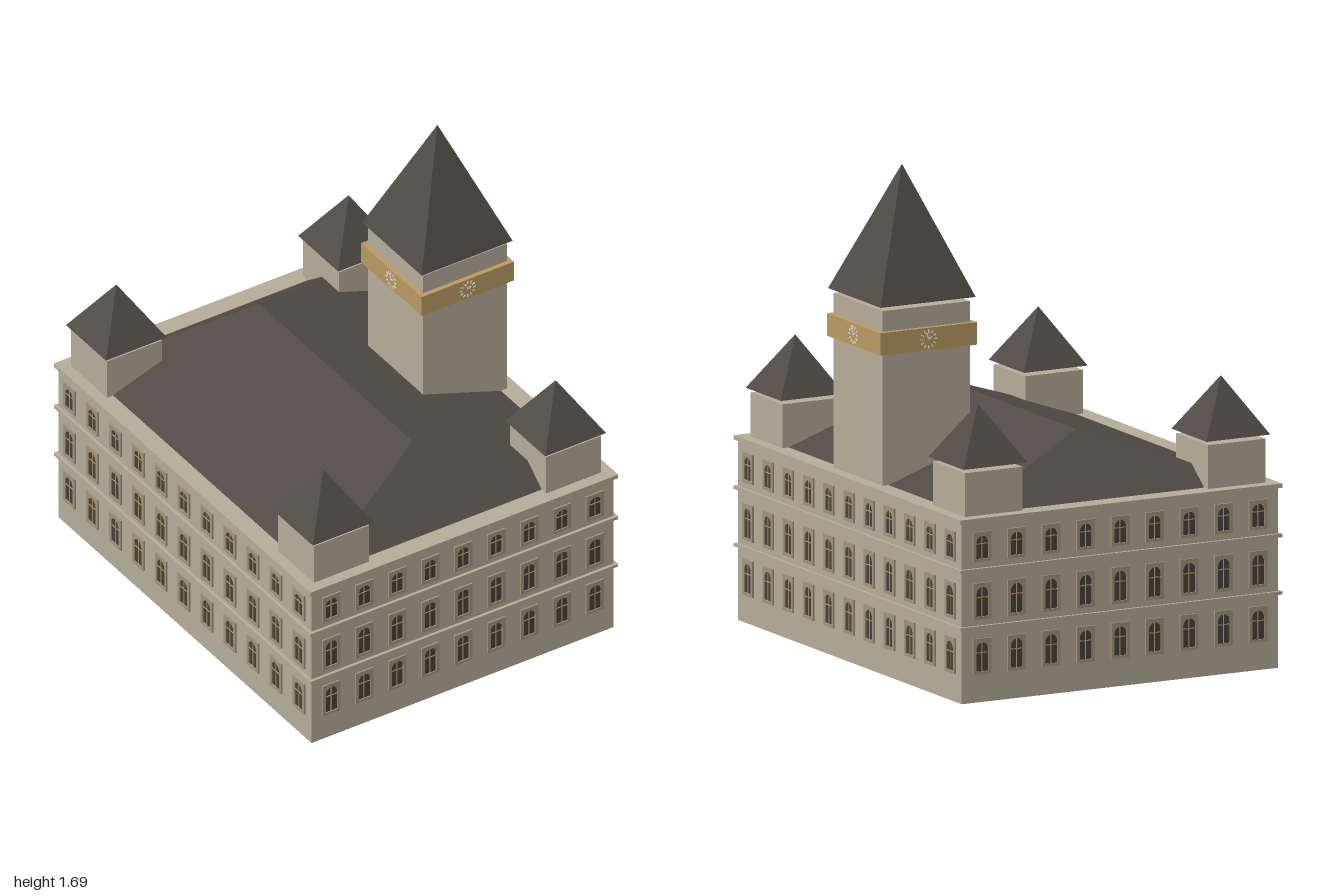
import * as THREE from 'three';

const paint = (color) => new THREE.MeshStandardMaterial({ color, flatShading: true });
const stone = paint(0xb5ab98);
const trim = paint(0xa0937c);
const slate = paint(0x504c45);
const glass = paint(0x45423c);
const gold = paint(0xb89a62);
const white = paint(0xe6e2d8);

// half sizes of the building's walls and of its cornices
const WX = 0.773, WZ = 0.605, CX = 0.784, CZ = 0.616;

function add(parent, name, geometry, material, x = 0, y = 0, z = 0) {
  const mesh = new THREE.Mesh(geometry, material);
  mesh.name = name;
  mesh.position.set(x, y, z);
  parent.add(mesh);
  return mesh;
}

// box given by full width and depth, and by its bottom and top heights
function block(parent, name, material, w, d, y0, y1, x = 0, z = 0) {
  return add(parent, name, new THREE.BoxGeometry(w, y1 - y0, d), material, x, (y0 + y1) / 2, z);
}

function pyramid(parent, name, half, y0, y1, x, z) {
  const g = new THREE.ConeGeometry(half * Math.SQRT2, y1 - y0, 4).rotateY(Math.PI / 4);
  return add(parent, name, g, slate, x, (y0 + y1) / 2, z);
}

// round-headed outline standing on y = y0
function archOutline(path, w, y0, top) {
  const r = w / 2;
  path.moveTo(-r, y0);
  path.lineTo(r, y0);
  path.lineTo(r, top - r);
  path.absarc(0, top - r, r, 0, Math.PI, false);
  path.lineTo(-r, y0);
  return path;
}

// surround, pane and glazing bars of one window height
function windowParts(h) {
  const w = 0.07, inner = 0.046;
  const s = new THREE.Shape([[-w / 2, 0], [w / 2, 0], [w / 2, h], [-w / 2, h]].map((p) => new THREE.Vector2(...p)));
  s.holes.push(archOutline(new THREE.Path(), inner, 0.01, h - 0.014));
  return {
    h,
    surround: new THREE.ExtrudeGeometry(s, { depth: 0.006, bevelEnabled: false, curveSegments: 8 }),
    pane: new THREE.ShapeGeometry(archOutline(new THREE.Shape(), inner, 0.01, h - 0.014), 8),
    upright: new THREE.BoxGeometry(0.003, h - 0.026, 0.002),
    bar: new THREE.BoxGeometry(inner, 0.003, 0.002),
  };
}

function addWindow(parent, p, x, y) {
  const g = new THREE.Group();
  g.name = 'window';
  g.position.set(x, y, 0);
  add(g, 'windowSurround', p.surround, trim);
  add(g, 'windowPane', p.pane, glass, 0, 0, 0.002);
  add(g, 'windowUpright', p.upright, gold, 0, p.h / 2 - 0.002, 0.003);
  add(g, 'windowBar', p.bar, gold, 0, p.h * 0.6, 0.003);
  parent.add(g);
}

// hipped roof from a base rectangle and a ridge line
function hipRoof(ux, vz, ridge, y0, y1) {
  const a = [-ux, y0, vz], b = [ux, y0, vz], c = [ux, y0, -vz], d = [-ux, y0, -vz];
  const l = [-ridge, y1, 0], r = [ridge, y1, 0];
  const faces = [a, b, r, a, r, l, c, d, l, c, l, r, b, c, r, d, a, l];
  const g = new THREE.BufferGeometry();
  g.setAttribute('position', new THREE.Float32BufferAttribute(faces.flat(), 3));
  g.computeVertexNormals();
  return g;
}

// dial of twelve marks and two hands, facing +z
function clockFace() {
  const g = new THREE.Group();
  g.name = 'clockFace';
  for (let i = 0; i < 12; i++) {
    const a = (i * Math.PI) / 6;
    const mark = add(g, 'hourMark', new THREE.BoxGeometry(0.004, 0.011, 0.002), white,
      Math.sin(a) * 0.027, Math.cos(a) * 0.027, 0);
    mark.rotation.z = -a;
  }
  [[0.3, 0.022], [-1.1, 0.015]].forEach(([a, len]) => {
    const hand = add(g, 'clockHand', new THREE.BoxGeometry(0.004, len, 0.002).translate(0, len / 2, 0), white);
    hand.rotation.z = a;
  });
  return g;
}

export function createModel() {
  const model = new THREE.Group();
  model.name = 'townHall';
  const hall = new THREE.Group();
  hall.name = 'building';
  hall.rotation.y = -0.66;
  model.add(hall);

  // walls, open underneath
  const t = 0.012;
  for (const s of [-1, 1]) {
    block(hall, 'longWall', stone, WX * 2, t, 0, 0.62, 0, s * (WZ - t / 2));
    block(hall, 'endWall', stone, t, (WZ - t) * 2, 0, 0.62, s * (WX - t / 2), 0);
  }

  // cornices at each storey, with a dark ceiling over the ground floor
  for (const [y0, y1] of [[0.252, 0.263], [0.448, 0.46], [0.617, 0.632]]) {
    block(hall, 'cornice', stone, CX * 2, CZ * 2, y0, y1);
  }
  block(hall, 'ceiling', slate, (WX - t) * 2, (WZ - t) * 2, 0.249, 0.253);

  // three rows of windows on all four sides
  const rows = [[0.096, 0.123], [0.284, 0.125], [0.482, 0.102]].map(([y, h]) => [y, windowParts(h)]);
  for (let side = 0; side < 4; side++) {
    const long = side % 2 === 0;
    const facade = new THREE.Group();
    facade.name = 'windows';
    facade.rotation.y = (side * Math.PI) / 2;
    facade.translateZ(long ? WZ : WX);
    const count = long ? 11 : 9, step = long ? 0.14 : 0.132;
    for (const [y, parts] of rows) {
      for (let i = 0; i < count; i++) addWindow(facade, parts, (i - (count - 1) / 2) * step, y);
    }
    hall.add(facade);
  }

  add(hall, 'mainRoof', hipRoof(0.715, 0.55, 0.467, 0.632, 0.823), slate);

  // four corner turrets
  for (const sx of [-1, 1]) for (const sz of [-1, 1]) {
    const x = sx * 0.632, z = sz * 0.465;
    block(hall, 'turret', stone, 0.22, 0.22, 0.01, 0.782, x, z);
    pyramid(hall, 'turretRoof', 0.122, 0.797, 0.99, x, z);
  }

  // clock tower
  const tz = -0.406;
  block(hall, 'clockTower', stone, 0.336, 0.336, 0.01, 1.23, 0, tz);
  block(hall, 'clockBand', gold, 0.37, 0.37, 1.082, 1.159, 0, tz);
  pyramid(hall, 'towerRoof', 0.182, 1.245, 1.686, 0, tz);
  for (let i = 0; i < 4; i++) {
    const clock = clockFace();
    clock.position.set(0, 1.12, tz);
    clock.rotation.y = (i * Math.PI) / 2;
    clock.translateZ(0.186);
    hall.add(clock);
  }
  return model;
}
